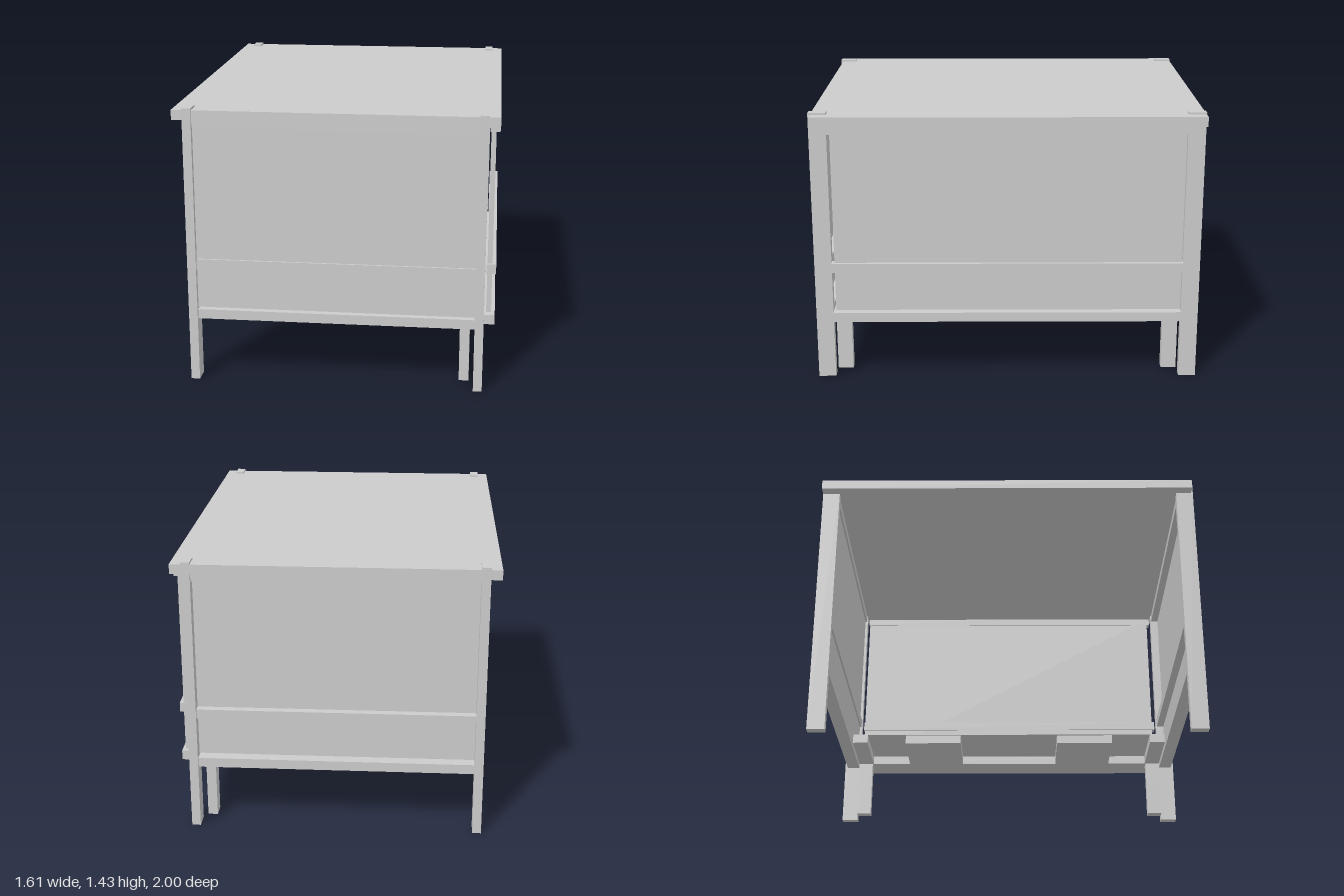
import * as THREE from 'three';

const material = new THREE.MeshStandardMaterial({ color: 0xcccccc, flatShading: true });

export function createModel() {
  const desk = new THREE.Group();
  desk.name = 'desk';

  // Box given by its limits along each axis
  const box = (name, [x0, x1], [y0, y1], [z0, z1], parent = desk) => {
    const mesh = new THREE.Mesh(new THREE.BoxGeometry(x1 - x0, y1 - y0, z1 - z0), material);
    mesh.position.set((x0 + x1) / 2, (y0 + y1) / 2, (z0 + z1) / 2);
    mesh.name = name;
    parent.add(mesh);
    return mesh;
  };
  const mirrored = (side, a, b) => (side > 0 ? [a, b] : [-b, -a]);

  // Heights shared by the rails on all three closed sides
  const railHeights = { bottomRail: [0.33, 0.38], middleRail: [0.6, 0.65], topRail: [1.33, 1.37] };

  box('deskTop', [-0.805, 0.805], [1.37, 1.42], [-1, 0.99]);

  // Two framed ends, each with a pair of legs, rails and a thin panel
  for (const side of [1, -1]) {
    const end = new THREE.Group();
    end.name = side > 0 ? 'frontEnd' : 'backEnd';
    desk.add(end);
    const legZ = mirrored(side, 0.91, 1);
    box('leftLeg', [0.705, 0.75], [0, 1.43], legZ, end);
    box('rightLeg', [-0.75, -0.705], [0, 1.43], legZ, end);
    for (const [name, y] of Object.entries(railHeights)) {
      box(name, [-0.705, 0.705], y, mirrored(side, 0.915, 0.985), end);
    }
    const panelZ = side > 0 ? [0.955, 0.975] : [-0.945, -0.925];
    box('endPanel', [-0.705, 0.705], [0.39, 1.37], panelZ, end);
  }

  // Long closed side with rails and a panel
  const longSide = new THREE.Group();
  longSide.name = 'longSide';
  desk.add(longSide);
  for (const [name, y] of Object.entries(railHeights)) {
    const top = name === 'topRail' ? 1.415 : y[1];
    box(name, [0.755, 0.804], [y[0], top], [-0.905, 0.905], longSide);
  }
  box('longPanel', [0.76, 0.785], [0.39, 1.37], [-0.9, 0.89], longSide);

  // Low shelf along the long side, carried by a beam, cross bars and short legs
  const shelf = new THREE.Group();
  shelf.name = 'lowShelf';
  desk.add(shelf);
  box('shelfBoard', [0.28, 0.68], [0.378, 0.387], [-0.82, 0.82], shelf);
  box('shelfBeam', [0.635, 0.755], [0.33, 0.38], [-0.905, 0.905], shelf);
  for (const side of [1, -1]) {
    box('shelfLeg', [0.63, 0.68], [0.015, 0.335], mirrored(side, 0.825, 0.905), shelf);
    box('outerCrossBar', [0.28, 0.635], [0.33, 0.38], mirrored(side, 0.82, 0.905), shelf);
    box('innerCrossBar', [0.29, 0.635], [0.33, 0.38], mirrored(side, 0.28, 0.6), shelf);
  }

  return desk;
}
